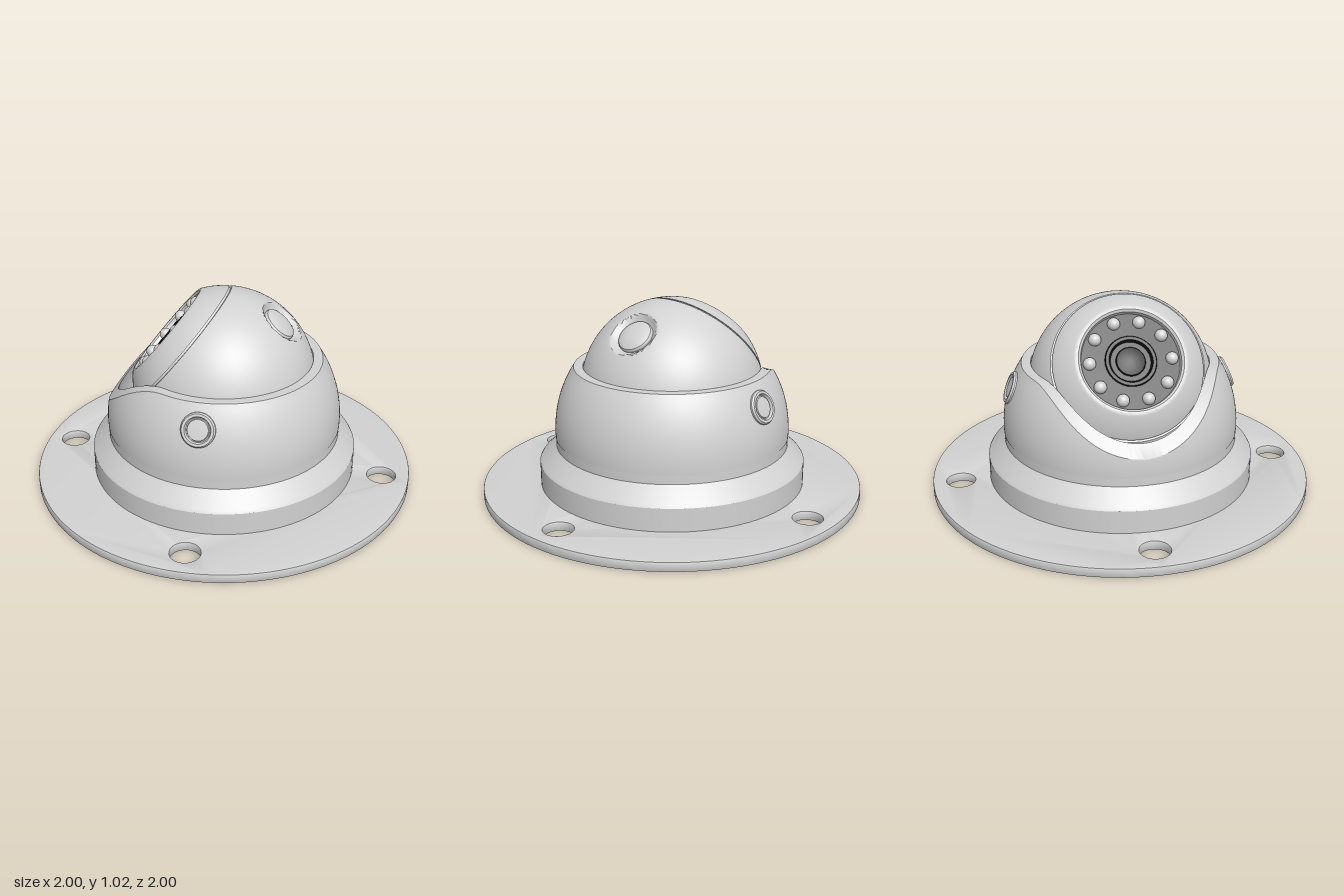
import * as THREE from 'three';
import { toCreasedNormals } from 'three/addons/utils/BufferGeometryUtils.js';
import { ParametricGeometry } from 'three/addons/geometries/ParametricGeometry.js';

const UP = new THREE.Vector3(0, 1, 0);
const BALL_R = 0.477, BALL_Y = 0.543;      // swivelling ball
const SHELL_Y = 0.33;                      // centre of the housing sphere
const LOOK = new THREE.Vector3(-0.78, 0.625, 0).normalize();
const KNOB_DIR = new THREE.Vector3(0.65, 0.76, 0).normalize();

export function createModel() {
  const model = new THREE.Group();
  model.name = 'domeCamera';
  const casing = new THREE.MeshStandardMaterial({ color: 0xd2d2d2 });
  casing.name = 'casing grey';
  const black = new THREE.MeshStandardMaterial({ color: 0x0b0b0b });
  black.name = 'lens black';

  const add = (parent, name, geometry, material) => {
    const mesh = new THREE.Mesh(geometry, material);
    mesh.name = name;
    parent.add(mesh);
    return mesh;
  };
  const lathe = (points, segments = 96) => toCreasedNormals(
    new THREE.LatheGeometry(points.map(([r, y]) => new THREE.Vector2(r, y)), segments), 0.5);
  // group whose local y axis points along a direction
  const aimed = (name, dir, position) => {
    const group = new THREE.Group();
    group.name = name;
    group.quaternion.setFromUnitVectors(UP, dir);
    group.position.copy(position);
    model.add(group);
    return group;
  };

  // mounting flange with four screw holes
  const disc = new THREE.Shape().absarc(0, 0, 1, 0, Math.PI * 2);
  for (const [x, y] of [[0.855, 0], [-0.855, 0], [0, 0.855], [0, -0.855]]) {
    disc.holes.push(new THREE.Path().absarc(x, y, 0.075, 0, Math.PI * 2, true));
  }
  const flange = new THREE.ExtrudeGeometry(disc, {
    depth: 0.038, curveSegments: 72, bevelSize: 0.006, bevelThickness: 0.006,
    bevelOffset: -0.006, bevelSegments: 2,
  });
  flange.rotateX(-Math.PI / 2).translate(0, 0.006, 0);
  add(model, 'mountingFlange', toCreasedNormals(flange, 0.5), casing);

  // stepped base with the floor of the housing
  add(model, 'base', lathe([
    [0.70, 0.04], [0.70, 0.17], [0.692, 0.182], [0.622, 0.243], [0.612, 0.255],
    [0.612, 0.30], [0, 0.30],
  ]), casing);

  // housing: spherical shell whose rim dips towards the lens side
  const rimHeight = (x) => 0.672 - 1.45 * Math.pow(Math.max(0, -0.2 - x), 1.87);
  const radiusAt = (R, y) => Math.sqrt(R * R - (y - SHELL_Y) ** 2);
  const ROWS = 12, LAST = ROWS * 2 + 1;
  const shell = new ParametricGeometry((u, v, target) => {
    const k = Math.round(v * LAST), a = u * Math.PI * 2;
    const outer = k <= ROWS;
    const R = outer ? 0.615 : 0.575;
    let top = 0.6;
    for (let i = 0; i < 25; i++) top = rimHeight(radiusAt(R, top) * Math.sin(a));
    const y = THREE.MathUtils.lerp(0.3, top, (outer ? k : LAST - k) / ROWS);
    const r = radiusAt(R, y);
    target.set(r * Math.sin(a), y, r * Math.cos(a));
  }, 128, LAST);
  add(model, 'housing', toCreasedNormals(shell, 0.6), casing);

  // round screw caps on both sides of the housing
  for (const side of [1, -1]) {
    const dir = new THREE.Vector3(0, 0.37, 0.93 * side).normalize();
    const cap = aimed('sideCap', dir, new THREE.Vector3(0, SHELL_Y, 0));
    add(cap, 'capRing', lathe([
      [0.086, 0.59], [0.086, 0.617], [0.079, 0.627], [0.066, 0.627],
      [0.060, 0.614], [0.055, 0.614], [0.052, 0.622], [0, 0.625],
    ], 48), casing);
  }

  // ball head, turned about the viewing axis
  const centre = new THREE.Vector3(0, BALL_Y, 0);
  const head = aimed('cameraHead', LOOK, centre);
  const profile = [];
  const arc = (from, to, steps) => {
    for (let i = 0; i <= steps; i++) {
      const t = THREE.MathUtils.lerp(Math.asin(from / BALL_R), Math.asin(to / BALL_R), i / steps);
      profile.push([BALL_R * Math.cos(t), BALL_R * Math.sin(t)]);
    }
  };
  arc(-BALL_R, 0.277, 90);
  profile.push([0.376, 0.277], [0.372, 0.288]);      // seam groove
  arc(0.288, 0.384, 10);
  profile.push([0.274, 0.389], [0.262, 0.388], [0.25, 0.378], [0.245, 0.355]);
  const ball = new THREE.LatheGeometry(profile.map(([r, y]) => new THREE.Vector2(Math.max(r, 0), y)), 160);

  // press a shallow dish into the back of the ball for the locking knob
  const dishDir = KNOB_DIR.clone().applyQuaternion(head.quaternion.clone().invert());
  const p = new THREE.Vector3(), across = new THREE.Vector3();
  const pos = ball.attributes.position;
  for (let i = 0; i < pos.count; i++) {
    p.fromBufferAttribute(pos, i);
    const along = p.dot(dishDir);
    across.copy(p).addScaledVector(dishDir, -along);
    const r = across.length();
    if (along > 0 && r < 0.13) {
      const depth = 0.459 - 0.03 * (1 - THREE.MathUtils.smoothstep(r, 0.09, 0.13));
      p.copy(across).addScaledVector(dishDir, depth);
      pos.setXYZ(i, p.x, p.y, p.z);
    }
  }
  add(head, 'ball', toCreasedNormals(ball, 0.6), casing);

  // locking knob
  const knob = aimed('lockingKnob', KNOB_DIR, centre);
  add(knob, 'knob', lathe([
    [0.092, 0.42], [0.092, 0.44], [0.087, 0.449], [0.07, 0.457], [0.04, 0.463], [0, 0.465],
  ], 48), casing);

  // black lens plate with stepped lens
  add(head, 'lensPlate', lathe([
    [0.247, 0.358], [0.13, 0.36], [0.125, 0.366], [0.11, 0.366], [0.10, 0.352],
    [0.075, 0.352], [0.07, 0.36], [0.04, 0.368], [0, 0.371],
  ], 64), black);

  // ring of ten light domes
  for (let i = 0; i < 10; i++) {
    const a = i * Math.PI / 5;
    const led = add(head, 'lightDome', new THREE.CapsuleGeometry(0.032, 0.02, 8, 20), casing);
    led.position.set(0.206 * Math.sin(a), 0.352, 0.206 * Math.cos(a));
  }
  return model;
}
